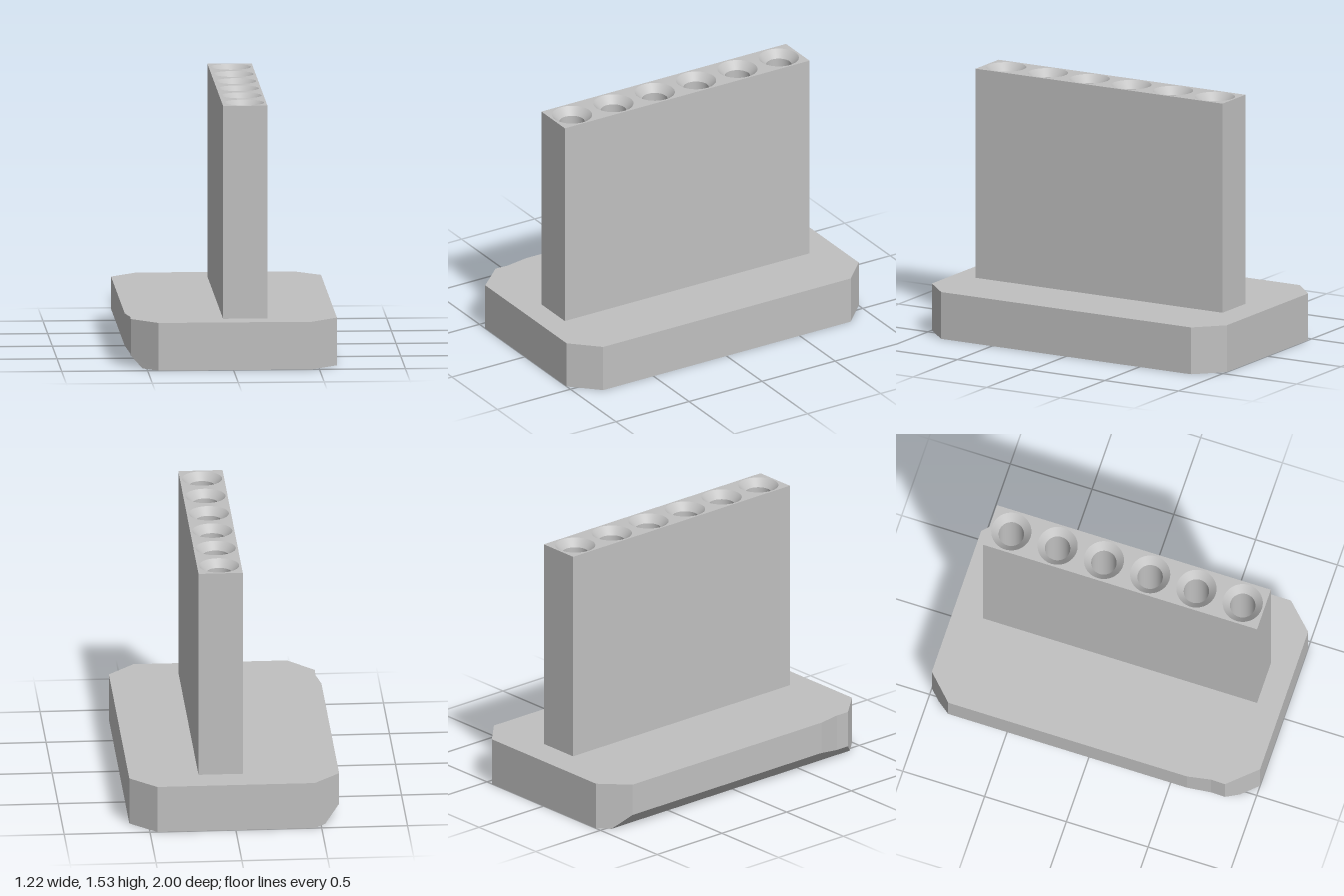
import * as THREE from 'three';
import { mergeGeometries } from 'three/addons/utils/BufferGeometryUtils.js';

const BASE_TOP = 0.28, TOP = 1.53;
const X0 = -0.053, X1 = 0.205, Z0 = -0.82, Z1 = 0.855;
const HOLE_X = 0.076, HOLE_R = 0.117, BORE_R = 0.074, SINK = 0.044, BORE_DEPTH = 0.5;
const holeZ = Array.from({ length: 6 }, (_, i) => -0.69 + i * 0.283);

// Base: an octagonal plate with a bevel along the lower -x edge and a shallow nick in one corner.
function baseGeometry() {
  // [x, z, height where the wall meets the bevel, bottom x, bottom z]
  const outline = [
    [0.61, -0.85], [0.61, 0.845], [0.457, 1], [-0.437, 1],
    [-0.589, 0.835, 0.066, -0.525, 0.905],
    [-0.587, 0.75, 0.064, -0.525, 0.75],
    [-0.612, 0.61, 0.09, -0.525, 0.61],
    [-0.612, -0.85, 0.09, -0.525, -0.936],
    [-0.46, -1], [0.457, -1],
  ];
  const rings = [
    outline.map(([x, z]) => [x, BASE_TOP, z]),
    outline.map(([x, z, y = 0]) => [x, y, z]),
    outline.map(([x, z, , bx = x, bz = z]) => [bx, 0, bz]),
  ];
  const pos = [], n = outline.length;
  const tri = (a, b, c) => pos.push(...a, ...b, ...c);
  for (let r = 0; r < 2; r++) {
    for (let i = 0; i < n; i++) {
      const j = (i + 1) % n, up = rings[r], low = rings[r + 1];
      tri(up[i], up[j], low[j]);
      tri(up[i], low[j], low[i]);
    }
  }
  for (let i = 1; i < n - 1; i++) {
    tri(rings[0][0], rings[0][i + 1], rings[0][i]);
    tri(rings[2][0], rings[2][i], rings[2][i + 1]);
  }
  const g = new THREE.BufferGeometry();
  g.setAttribute('position', new THREE.Float32BufferAttribute(pos, 3));
  g.computeVertexNormals();
  return g;
}

// Upright block: four walls, plus a top face pierced by the holes.
function wallsGeometry() {
  const g = new THREE.BoxGeometry(X1 - X0, TOP - BASE_TOP, Z1 - Z0);
  const idx = Array.from(g.index.array);
  g.setIndex([...idx.slice(0, 12), ...idx.slice(24)]);
  g.clearGroups();
  return g.translate((X0 + X1) / 2, (TOP + BASE_TOP) / 2, (Z0 + Z1) / 2);
}

function topGeometry() {
  const s = new THREE.Shape();
  s.moveTo(X0, -Z1).lineTo(X1, -Z1).lineTo(X1, -Z0).lineTo(X0, -Z0).closePath();
  for (const z of holeZ) {
    s.holes.push(new THREE.Path().absarc(HOLE_X, -z, HOLE_R, 0, Math.PI * 2, true));
  }
  return new THREE.ShapeGeometry(s, 24).rotateX(-Math.PI / 2).translate(0, TOP, 0);
}

// Countersunk hole: cone, bore and floor, kept separate for crisp edges.
function holeGeometry() {
  const profile = [
    [HOLE_R, 0], [BORE_R, -SINK], [BORE_R, -BORE_DEPTH], [0, -BORE_DEPTH],
  ].map(([x, y]) => new THREE.Vector2(x, y));
  return mergeGeometries([0, 1, 2].map(i => new THREE.LatheGeometry(profile.slice(i, i + 2), 48)));
}

export function createModel() {
  const grey = new THREE.MeshStandardMaterial({ color: 0xc0c0c0 });
  grey.name = 'plain grey';
  const model = new THREE.Group();
  model.name = 'holder';
  const add = (name, geometry) => {
    const m = new THREE.Mesh(geometry, grey);
    m.name = name;
    model.add(m);
    return m;
  };
  add('base', baseGeometry());
  add('uprightWalls', wallsGeometry());
  add('uprightTop', topGeometry());
  const hole = holeGeometry();
  holeZ.forEach((z, i) => add('hole' + (i + 1), hole).position.set(HOLE_X, TOP, z));
  return model;
}
